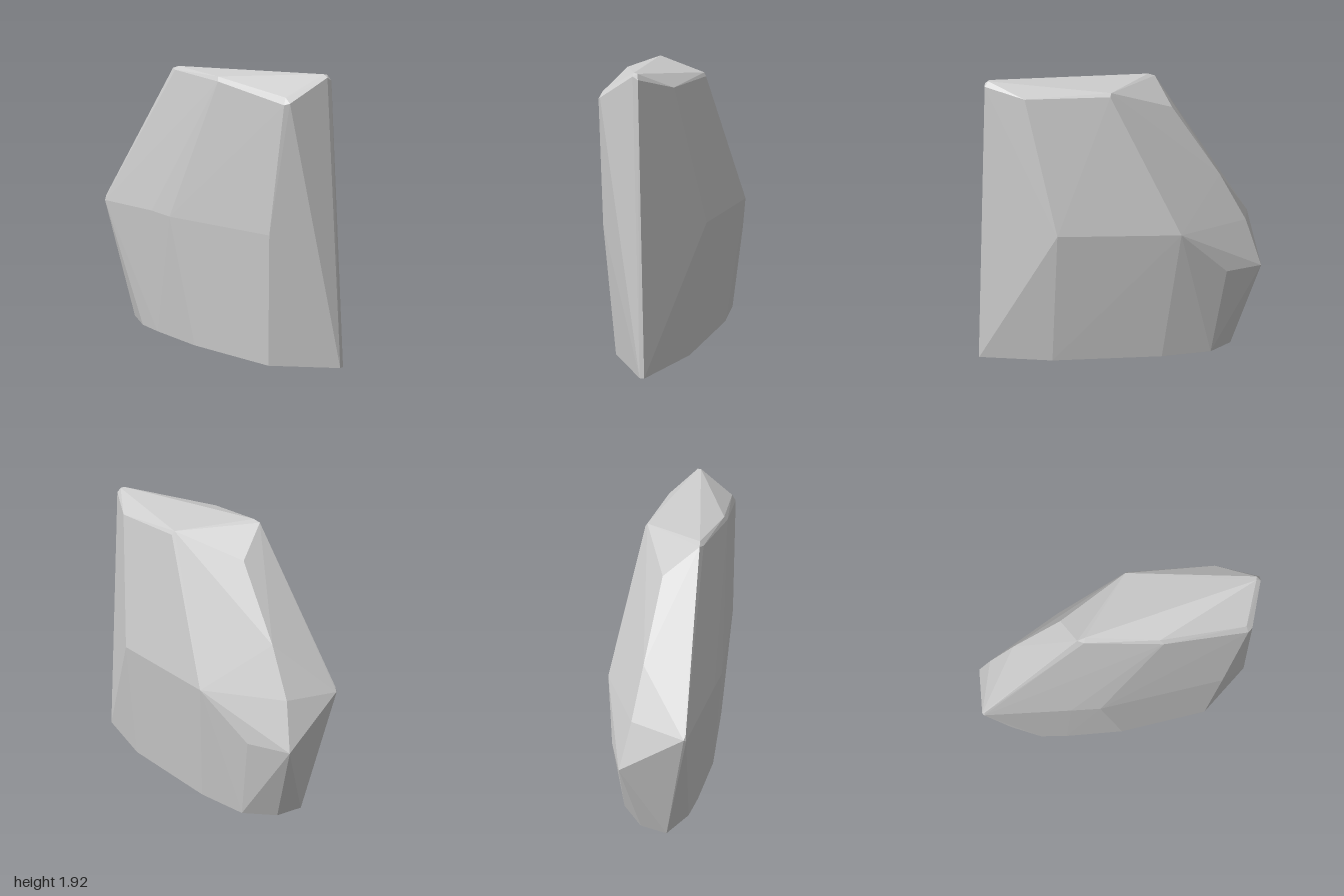
import * as THREE from 'three';
import { ConvexGeometry } from 'three/addons/geometries/ConvexGeometry.js';

// Corner points of the boulder, grouped by height zone: [x, y, z]
const base = [
  [-0.85, 0, 0.1], [-0.64, 0, 0.22], [-0.45, 0, 0.258], [-0.03, 0, 0.31], [0.62, 0, 0.29],
  [1, 0, 0.01], [1, 0, -0.02], [0.51, 0, -0.19], [-0.25, 0, -0.262], [-0.61, 0, -0.236], [-0.8, 0, -0.086],
];
const belly = [
  [-1, 0.9, 0.235], [-0.99, 0.89, 0.25], [-0.98, 0.93, 0.245], [-0.98, 0.6, -0.19],
  [-0.7, 0.6, -0.29], [-0.88, 0.92, -0.12], [-0.7, 1.24, -0.07],
  [-0.35, 0.9, -0.38], [0.48, 0.91, -0.295],
  [-0.4, 0.91, 0.348], [-0.2, 0.9, 0.375], [0.67, 0.9, 0.35],
];
const crown = [
  [-0.25, 1.915, 0.22], [-0.3, 1.9, 0.225], [-0.26, 1.89, 0.245], [-0.37, 1.71, 0.0],
  [0.09, 1.845, -0.18], [0.1, 1.82, -0.195], [0.66, 1.81, -0.125],
  [0.2, 1.88, 0.32], [0.22, 1.85, 0.34],
  [0.76, 1.785, 0.31], [0.8, 1.75, 0.315], [0.77, 1.74, 0.335],
  [0.87, 1.92, 0.07], [0.9, 1.9, 0.07], [0.905, 1.88, 0.035], [0.88, 1.915, 0.045],
];

export function createModel() {
  const group = new THREE.Group();
  group.name = 'rock';

  // Faceted boulder with a flat base, wrapped around its corner points
  const points = [...base, ...belly, ...crown].map((p) => new THREE.Vector3(...p));
  const boulder = new THREE.Mesh(
    new ConvexGeometry(points),
    new THREE.MeshStandardMaterial({ color: 0xcccccc, flatShading: true }),
  );
  boulder.name = 'boulder';
  group.add(boulder);
  return group;
}
